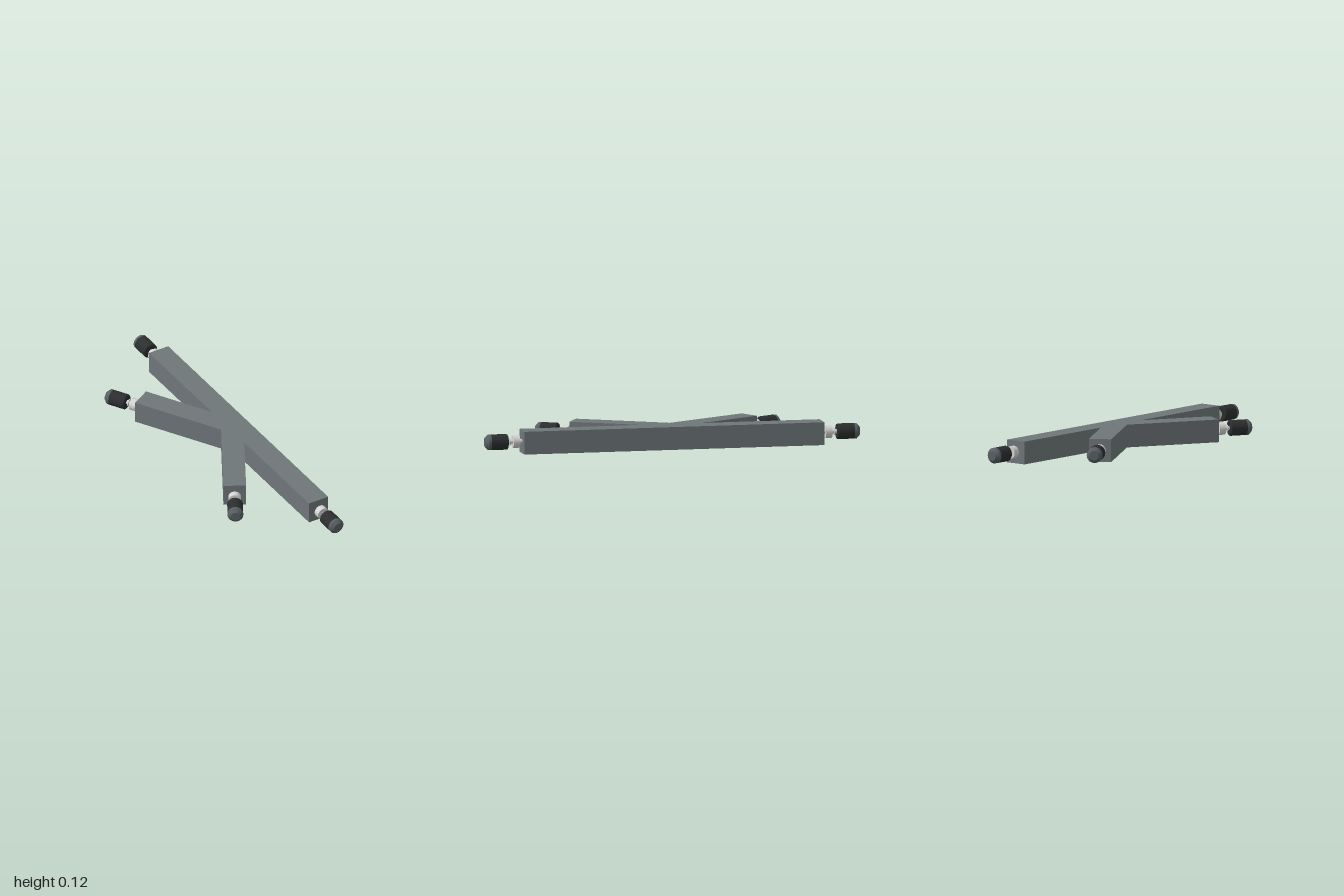
import * as THREE from 'three';

const frameGrey = new THREE.MeshStandardMaterial({ name: 'frameGrey', color: 0x6f7679 });
const capGrey = new THREE.MeshStandardMaterial({ name: 'capGrey', color: 0x596064 });
const gripBlack = new THREE.MeshStandardMaterial({ name: 'gripBlack', color: 0x2c2e2f });
const metalWhite = new THREE.MeshStandardMaterial({ name: 'metalWhite', color: 0xd4d4d2 });

const HEIGHT = 0.12;
const AXIS_Y = 0.062;

// Flat-ended solid of revolution running outward along +z; each segment keeps its own sharp edges
function turned(name, material, profile) {
  const group = new THREE.Group();
  group.name = name;
  profile.forEach(([z0, r0, z1, r1]) => {
    const geometry = new THREE.CylinderGeometry(r1, r0, z1 - z0, 32);
    geometry.rotateX(Math.PI / 2);
    geometry.translate(0, 0, (z0 + z1) / 2);
    const mesh = new THREE.Mesh(geometry, material);
    mesh.name = name;
    group.add(mesh);
  });
  return group;
}

// Stem, collar, grip and chamfered cap on the end of one beam
function endFitting(name) {
  const fitting = new THREE.Group();
  fitting.name = name;
  fitting.add(
    turned('stem', metalWhite, [[-0.01, 0.011, 0.09, 0.011]]),
    turned('collar', metalWhite, [[0.017, 0.033, 0.052, 0.033]]),
    turned('flange', metalWhite, [[0.064, 0.02, 0.07, 0.02]]),
    turned('grip', gripBlack, [[0.08, 0.037, 0.085, 0.041], [0.085, 0.041, 0.17, 0.041]]),
    turned('cap', capGrey, [[0.17, 0.041, 0.184, 0.041], [0.184, 0.041, 0.2, 0.025]])
  );
  return fitting;
}

export function createModel() {
  const model = new THREE.Group();
  model.name = 'branchedBeam';

  // Long beam with two slanted arms, as one outline in x and z
  const outline = [
    [0.247, -0.802], [0.247, 0.802], [0.13, 0.802], [0.13, 0.152],
    [-0.065, 0.492], [-0.168, 0.433], [0.088, -0.01], [-0.168, -0.453],
    [-0.065, -0.511], [0.13, -0.173], [0.13, -0.802]
  ];
  const shape = new THREE.Shape(outline.map(([x, z]) => new THREE.Vector2(x, -z)));
  const geometry = new THREE.ExtrudeGeometry(shape, { depth: HEIGHT, bevelEnabled: false });
  geometry.rotateX(-Math.PI / 2);
  const frame = new THREE.Mesh(geometry, frameGrey);
  frame.name = 'frame';
  model.add(frame);

  // One fitting on each beam end: position and heading
  [
    ['frontFitting', 0.188, 0.8, 0],
    ['backFitting', 0.188, -0.8, Math.PI],
    ['frontArmFitting', -0.117, 0.462, -Math.PI / 6],
    ['backArmFitting', -0.117, -0.481, Math.PI + Math.PI / 6]
  ].forEach(([name, x, z, heading]) => {
    const fitting = endFitting(name);
    fitting.position.set(x, AXIS_Y, z);
    fitting.rotation.y = heading;
    model.add(fitting);
  });

  return model;
}
